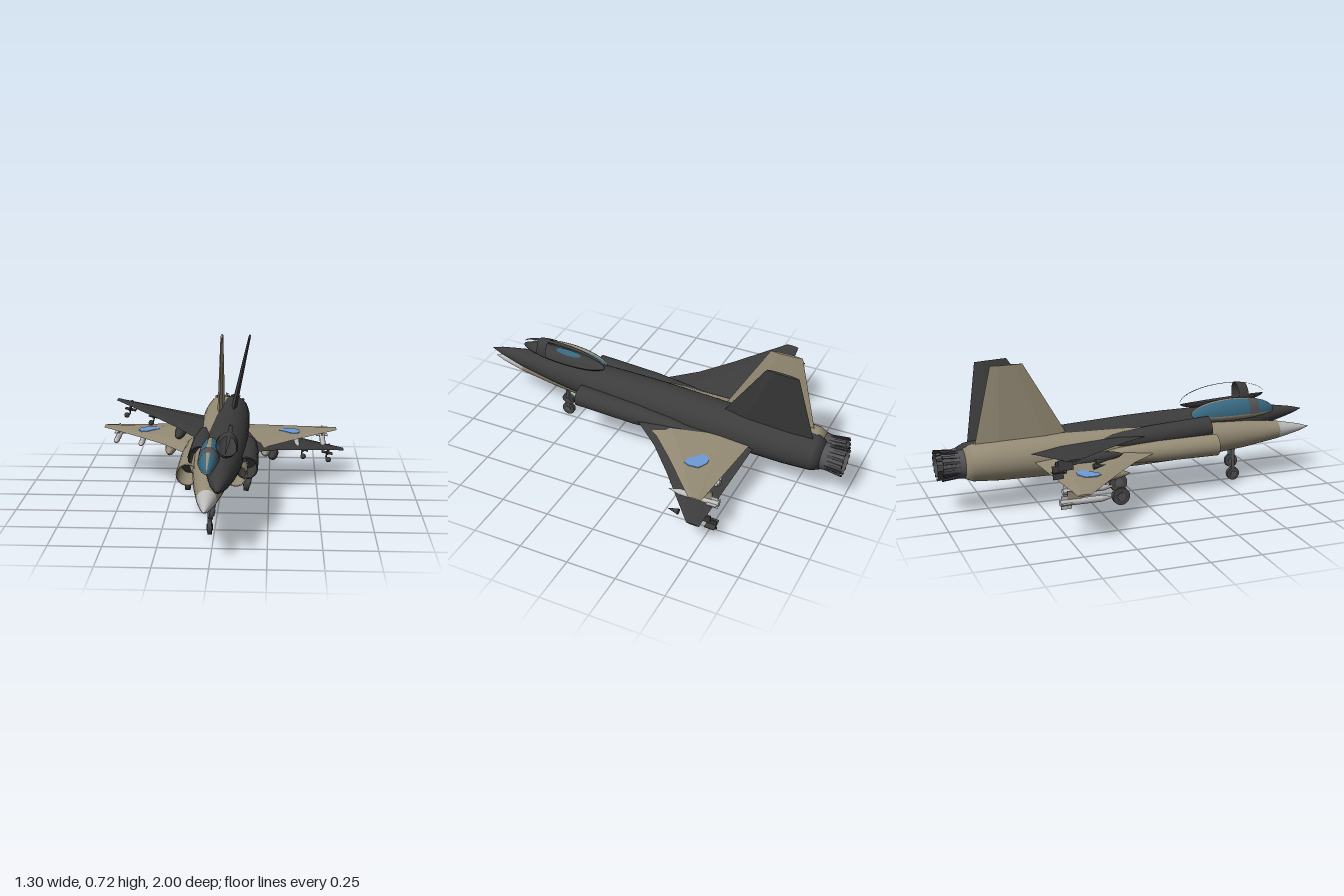
import * as THREE from 'three';

const mat = (name, color) => Object.assign(new THREE.MeshStandardMaterial({ color, side: THREE.DoubleSide }), { name });
const tan = mat('tan paint', 0x968c76);
const dark = mat('charcoal paint', 0x3c3c3c);
const silver = mat('light grey', 0xbdbdbd);
const steel = mat('engine grey', 0x545458);
const rubber = mat('wheel grey', 0x444444);
const glass = mat('canopy glass', 0x376880);
const blue = mat('wing patch blue', 0x6f9bd8);
const black = mat('duct black', 0x202020);

const V = (x, y, z) => new THREE.Vector3(x, y, z);

function add(parent, name, geo, material, x = 0, y = 0, z = 0) {
  const mesh = new THREE.Mesh(geo, material);
  mesh.name = name;
  mesh.position.set(x, y, z);
  parent.add(mesh);
  return mesh;
}

// Turned body along z; points are [radius, z] from back to front
function turned(points, segments = 28) {
  return new THREE.LatheGeometry(points.map(p => new THREE.Vector2(p[0], p[1])), segments).rotateX(Math.PI / 2);
}

// Straight rod between two points
function rod(parent, name, a, b, r, material) {
  const mesh = add(parent, name, new THREE.CylinderGeometry(r, r * 0.85, a.distanceTo(b), 10), material);
  mesh.position.copy(a).lerp(b, 0.5);
  mesh.quaternion.setFromUnitVectors(V(0, 1, 0), b.clone().sub(a).normalize());
}

// Thin foil lofted along x; sections are [x, leading z, trailing z, half thickness]
function foil(sections, side = 1) {
  const rings = sections.map(([x, le, te, t]) => {
    const at = (k, y) => V(x * side, y, le + (te - le) * k);
    return [at(0, 0), at(0.25, t), at(0.75, t), at(1, 0), at(0.75, -t), at(0.25, -t)];
  });
  const out = [];
  const tri = (a, b, c) => {
    for (const p of side > 0 ? [a, b, c] : [a, c, b]) out.push(p.x, p.y, p.z);
  };
  for (let s = 0; s < rings.length - 1; s++) {
    const a = rings[s], b = rings[s + 1];
    for (let i = 0; i < 6; i++) {
      const j = (i + 1) % 6;
      tri(a[i], b[i], b[j]);
      tri(a[i], b[j], a[j]);
    }
  }
  const tip = rings[rings.length - 1];
  for (let i = 1; i < 5; i++) tri(tip[0], tip[i + 1], tip[i]);
  const geo = new THREE.BufferGeometry();
  geo.setAttribute('position', new THREE.Float32BufferAttribute(out, 3));
  geo.computeVertexNormals();
  return geo;
}

// Part of the canopy ellipsoid; phi 0..PI is the lower half, PI..2PI the upper
function canopyShell(phi, phiLength, theta, thetaLength, height, grow = 1) {
  return new THREE.SphereGeometry(1, 28, 24, phi, phiLength, theta, thetaLength)
    .rotateX(Math.PI / 2).scale(0.052 * grow, height * grow, 0.235 * grow);
}

function addCanopy(jet, paint, frame, glazed) {
  const canopy = new THREE.Group();
  canopy.name = 'canopy';
  canopy.position.set(0, 0.115, 0.54);
  jet.add(canopy);
  const P = Math.PI;
  add(canopy, 'canopySill', canopyShell(0, P, 0, P, 0.035), paint);
  if (glazed) add(canopy, 'canopyGlass', canopyShell(P, P, 0, P, 0.078), glass);
  add(canopy, 'canopySpine', canopyShell(1.5 * P - 0.2, 0.4, 0.1, P - 0.1, 0.078, 1.02), paint);
  add(canopy, 'canopyHoop', canopyShell(P, P, 0.98, 0.26, 0.078, 1.04), frame);
}

function addNozzle(jet) {
  add(jet, 'nozzle', new THREE.CylinderGeometry(0.072, 0.058, 0.12, 18, 1, true).rotateX(Math.PI / 2), steel, 0, 0, -0.93);
  add(jet, 'burner', new THREE.CircleGeometry(0.066, 18).rotateY(Math.PI), black, 0, 0, -0.9);
  for (let i = 0; i < 14; i++) {
    const a = i / 14 * Math.PI * 2;
    const petal = add(jet, 'nozzlePetal', new THREE.BoxGeometry(0.014, 0.006, 0.13), i % 2 ? steel : dark,
      Math.cos(a) * 0.066, Math.sin(a) * 0.066, -0.925);
    petal.rotation.set(0.1, 0, a - Math.PI / 2, 'ZXY');
  }
}

// Wing missile; without a body only its nose, fins and pylon remain
function addMissile(jet, x, z, paint, metal, hasBody) {
  const m = new THREE.Group();
  m.name = 'missile';
  m.position.set(x, -0.052, z);
  jet.add(m);
  add(m, 'missileNose', new THREE.ConeGeometry(0.015, 0.06, 12).rotateX(Math.PI / 2), metal, 0, 0, 0.1);
  if (hasBody) add(m, 'missileBody', new THREE.CylinderGeometry(0.015, 0.015, 0.2, 12).rotateX(Math.PI / 2), metal, 0, 0, -0.03);
  for (const a of [0, Math.PI / 2]) {
    add(m, 'missileFins', new THREE.BoxGeometry(0.062, 0.004, 0.05), metal, 0, 0, -0.1).rotation.z = a;
  }
  add(m, 'pylon', new THREE.BoxGeometry(0.008, 0.05, 0.07), paint, 0, 0.028, -0.06);
}

function addGear(jet) {
  const wheel = (x, y, z, r, w) => {
    add(jet, 'wheel', new THREE.CylinderGeometry(r, r, w, 20).rotateZ(Math.PI / 2), rubber, x, y, z);
    add(jet, 'wheelHub', new THREE.CylinderGeometry(r * 0.45, r * 0.45, w + 0.008, 14).rotateZ(Math.PI / 2), steel, x, y, z);
  };
  rod(jet, 'noseStrut', V(0, -0.06, 0.55), V(0, -0.21, 0.55), 0.011, steel);
  wheel(0, -0.215, 0.55, 0.034, 0.02);
  for (const s of [-1, 1]) {
    rod(jet, 'mainStrut', V(s * 0.09, -0.05, -0.13), V(s * 0.13, -0.15, -0.13), 0.012, steel);
    rod(jet, 'mainStrut', V(s * 0.13, -0.14, -0.13), V(s * 0.148, -0.205, -0.13), 0.011, steel);
    wheel(s * 0.152, -0.205, -0.13, 0.045, 0.026);
  }
}

function makeJet(name, paint, metal, noseColor, complete) {
  const jet = new THREE.Group();
  jet.name = name;

  // Fuselage and nose cone
  add(jet, 'fuselage', turned([[0, -0.88], [0.072, -0.88], [0.09, -0.84], [0.1, -0.7], [0.105, -0.4],
    [0.105, 0], [0.1, 0.2], [0.091, 0.4], [0.073, 0.6], [0.046, 0.8]]), paint);
  add(jet, 'noseCone', turned([[0.046, 0.8], [0.034, 0.86], [0.019, 0.93], [0, 0.99]]), noseColor);
  addCanopy(jet, paint, complete ? steel : paint, complete);
  addNozzle(jet);

  // Tail fin
  add(jet, 'tailFin', foil([[0.05, -0.33, -0.83, 0.016], [0.47, -0.575, -0.735, 0.006]]).rotateZ(Math.PI / 2), paint);

  for (const s of [-1, 1]) {
    // Air intake with open mouth and half-buried cone
    add(jet, 'intake', turned([[0.01, -0.32], [0.04, -0.12], [0.053, 0.08], [0.055, 0.4], [0.047, 0.4], [0.044, 0.2]], 24),
      paint, s * 0.115, -0.008, 0);
    add(jet, 'intakeDuct', new THREE.CircleGeometry(0.046, 24), black, s * 0.115, -0.008, 0.22);
    add(jet, 'intakeCone', new THREE.ConeGeometry(0.024, 0.14, 16).rotateX(Math.PI / 2), paint, s * 0.09, -0.008, 0.33);

    // Delta wing
    add(jet, 'wing', foil([[0.05, 0.17, -0.555, 0.017], [0.15, 0.06, -0.548, 0.015], [0.27, -0.1, -0.537, 0.012],
      [0.4, -0.23, -0.525, 0.009], [0.63, -0.44, -0.505, 0.004]], s), paint);

    // Blue patch on the wing
    if (complete) {
      const outline = [[0.32, 0.38], [0.34, 0.42], [0.38, 0.425], [0.425, 0.4], [0.43, 0.35], [0.415, 0.32], [0.38, 0.325], [0.36, 0.35]];
      const shape = new THREE.Shape(outline.map(([x, z]) => new THREE.Vector2(s * x, z)));
      add(jet, 'wingPatch', new THREE.ExtrudeGeometry(shape, { depth: 0.008, bevelEnabled: false }).rotateX(-Math.PI / 2),
        blue, 0, 0.0045, 0);
    }

    // Fuel tank and missiles
    add(jet, 'fuelTank', turned([[0, -0.18], [0.016, -0.13], [0.028, -0.05], [0.03, 0.03], [0.024, 0.1], [0.012, 0.15], [0, 0.175]], 18),
      paint, s * 0.25, -0.056, -0.29);
    add(jet, 'pylon', new THREE.BoxGeometry(0.01, 0.05, 0.14), paint, s * 0.25, -0.022, -0.3);
    addMissile(jet, s * 0.415, -0.38, paint, metal, complete);
    addMissile(jet, s * 0.555, -0.435, paint, metal, complete);
  }
  addGear(jet);
  return jet;
}

export function createModel() {
  const model = new THREE.Group();
  model.name = 'jetPair';

  // Level tan jet
  const level = makeJet('tanJet', tan, silver, silver, true);
  level.position.set(-0.02, 0.25, 0.01);
  model.add(level);

  // Dark jet, banked and pitched up
  const banked = makeJet('darkJet', dark, dark, dark, false);
  banked.position.set(0.035, 0.287, -0.008);
  banked.rotation.set(-0.05, 0, -0.21);
  model.add(banked);
  return model;
}
